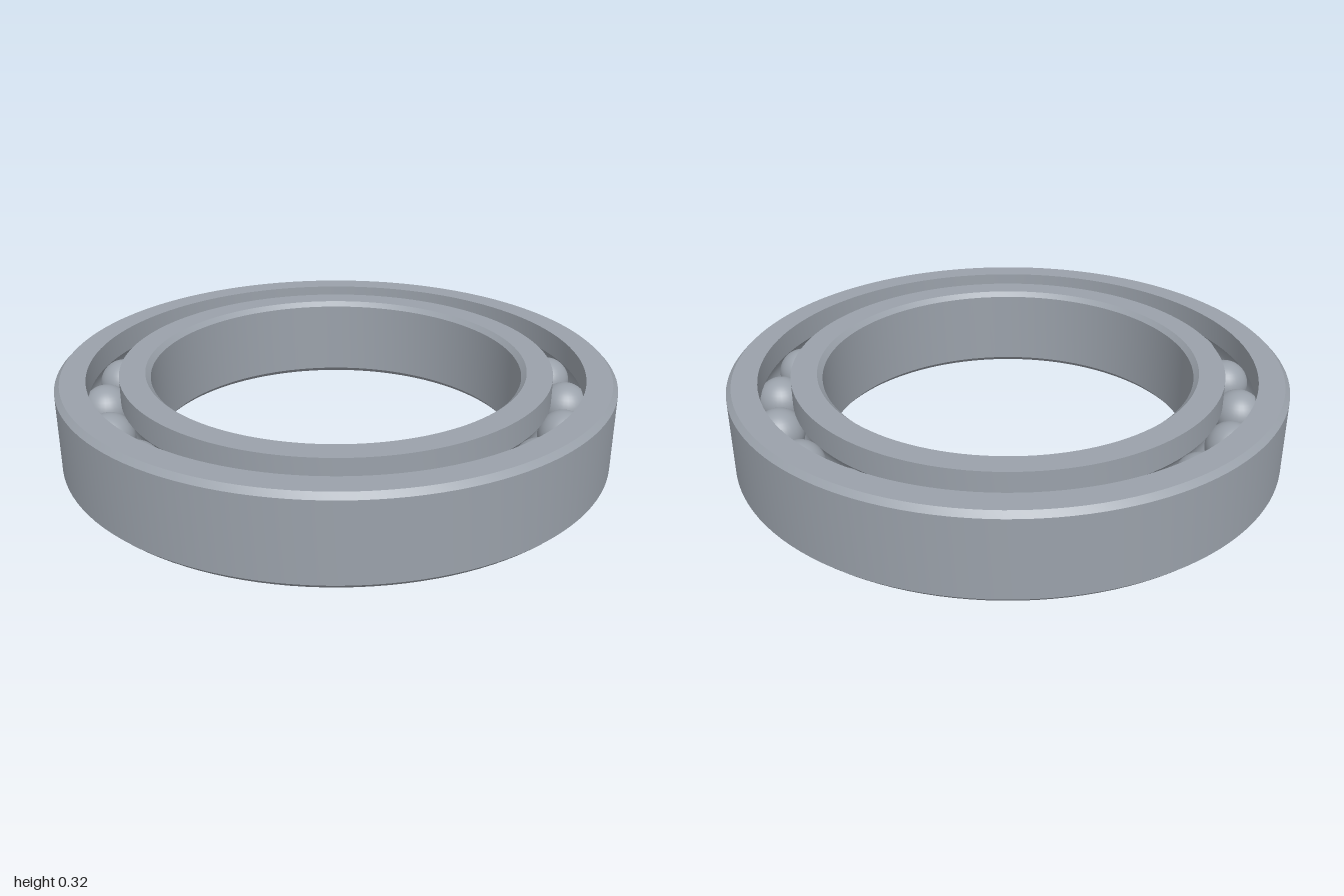
import * as THREE from 'three';
import { toCreasedNormals } from 'three/addons/utils/BufferGeometryUtils.js';

const HEIGHT = 0.316, MID = HEIGHT / 2, CHAMFER = 0.018;
const PITCH = 0.836;          // radius of the ball circle
const BALL = 0.088, GROOVE = 0.0895;
const COUNT = 21;

// Points of a raceway groove cut into a wall at the given radius, from bottom to top
function groove(wall) {
  const offset = wall - PITCH;
  const half = Math.acos(Math.abs(offset) / GROOVE);
  const points = [];
  for (let i = 0; i <= 12; i++) {
    const a = -half + (2 * half * i) / 12;
    points.push([PITCH + Math.sign(offset) * GROOVE * Math.cos(a), MID + GROOVE * Math.sin(a)]);
  }
  return points;
}

// Closed ring: the profile runs counter-clockwise so that faces look outward
function makeRing(name, profile, material) {
  const points = [...profile, profile[0]].map(([r, y]) => new THREE.Vector2(r, y));
  const geometry = toCreasedNormals(new THREE.LatheGeometry(points, 128), 0.5);
  const mesh = new THREE.Mesh(geometry, material);
  mesh.name = name;
  return mesh;
}

export function createModel() {
  const model = new THREE.Group();
  model.name = 'ballBearing';
  const steel = new THREE.MeshStandardMaterial({ color: 0x9aa1aa });
  steel.name = 'steel grey';

  // Outer ring: chamfered rim outside, groove inside
  const outerWall = 0.892;
  model.add(makeRing('outerRing', [
    [outerWall, 0], [1 - CHAMFER, 0], [1, CHAMFER],
    [1, HEIGHT - CHAMFER], [1 - CHAMFER, HEIGHT], [outerWall, HEIGHT],
    ...groove(outerWall).reverse(),
  ], steel));

  // Inner ring: groove outside, chamfered bore
  const innerWall = 0.778, bore = 0.668;
  model.add(makeRing('innerRing', [
    [innerWall, 0], ...groove(innerWall), [innerWall, HEIGHT],
    [bore + CHAMFER, HEIGHT], [bore, HEIGHT - CHAMFER],
    [bore, CHAMFER], [bore + CHAMFER, 0],
  ], steel));

  // Balls spaced evenly around the raceway
  const balls = new THREE.Group();
  balls.name = 'balls';
  const ballGeometry = new THREE.SphereGeometry(BALL, 32, 20);
  for (let i = 0; i < COUNT; i++) {
    const a = THREE.MathUtils.degToRad(-5.1) + (i * 2 * Math.PI) / COUNT;
    const ball = new THREE.Mesh(ballGeometry, steel);
    ball.name = 'ball' + (i + 1);
    ball.position.set(PITCH * Math.cos(a), MID, PITCH * Math.sin(a));
    balls.add(ball);
  }
  model.add(balls);
  return model;
}
